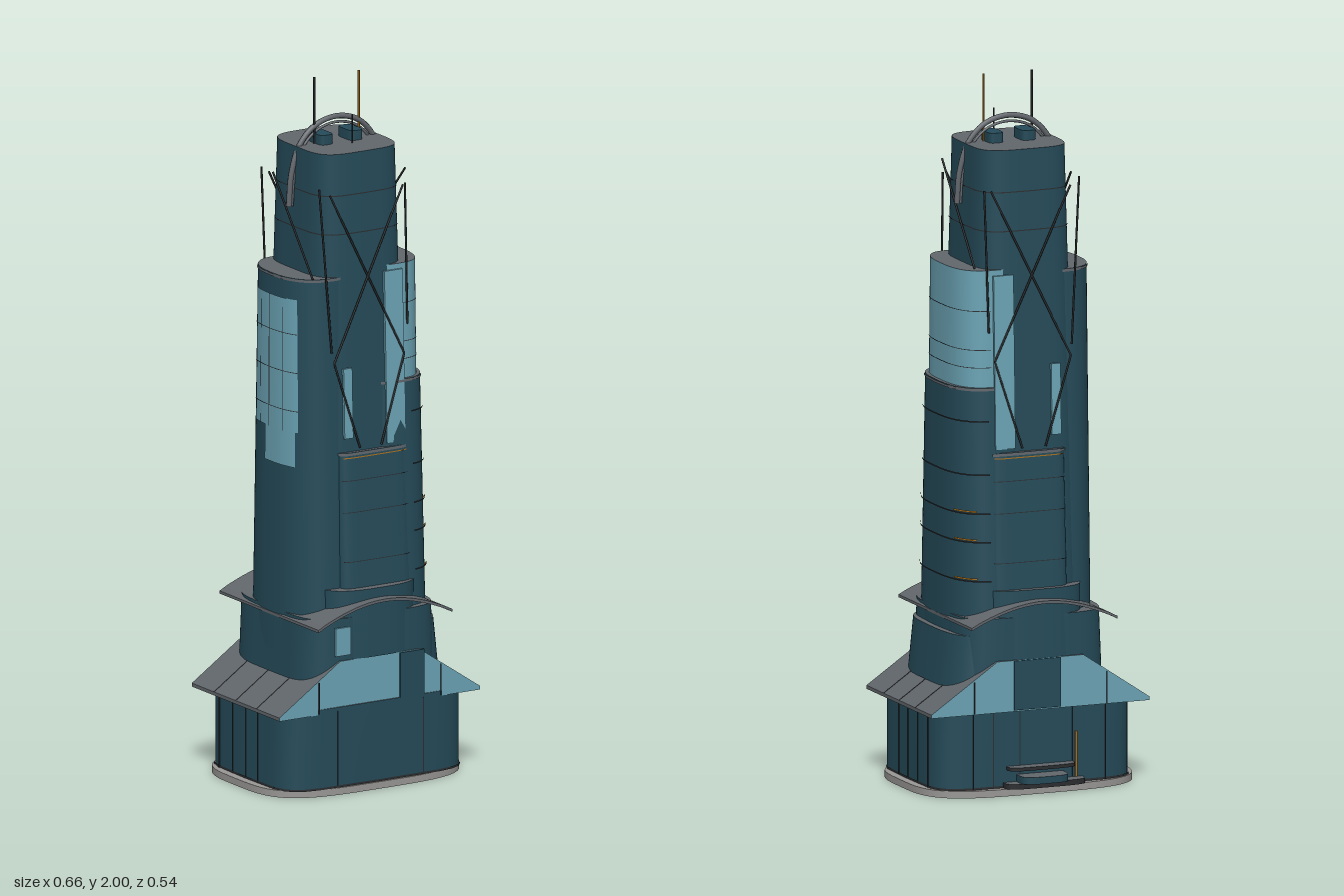
import * as THREE from 'three';

const mat = (name, color) => {
  const m = new THREE.MeshStandardMaterial({ color });
  m.name = name;
  return m;
};

export function createModel() {
  const root = new THREE.Group();
  root.name = 'skyscraper';
  const glass = mat('dark teal glass', 0x254b59);
  const pale = mat('pale teal glass', 0x6ba3b4);
  const grey = mat('roof grey', 0x62676c);
  const rim = mat('light stone', 0x9a9896);
  const dark = mat('dark steel', 0x2b2d30);
  const amber = mat('amber light', 0xa8701f);

  const add = (name, geo, material, parent = root) => {
    const m = new THREE.Mesh(geo, material);
    m.name = name;
    parent.add(m);
    return m;
  };
  const box = (name, w, h, d, x, y, z, material) => {
    const m = add(name, new THREE.BoxGeometry(w, h, d), material);
    m.position.set(x, y, z);
    return m;
  };
  const bar = (name, a, b, r, material) => {
    const p = new THREE.Vector3(...a), q = new THREE.Vector3(...b);
    const m = add(name, new THREE.CylinderGeometry(r, r, p.distanceTo(q), 6), material);
    m.position.copy(p).add(q).multiplyScalar(0.5);
    m.quaternion.setFromUnitVectors(new THREE.Vector3(0, 1, 0), q.sub(p).normalize());
  };

  // A volume has a rounded plan, lerped between a low and a high ring [y, x, z, halfX, halfZ]
  const bend = (v, n) => Math.sign(v) * Math.pow(Math.abs(v), 2 / n);
  const plan = (vol, y, t, off = 0) => {
    const k = (y - vol.lo[0]) / (vol.hi[0] - vol.lo[0]);
    const [, x, z, hx, hz] = vol.lo.map((v, i) => THREE.MathUtils.lerp(v, vol.hi[i], k));
    return [x + (hx + off) * bend(Math.cos(t), vol.n), y, z + (hz + off) * bend(Math.sin(t), vol.n)];
  };
  // Wall covering part of a volume, from angle t0 to t1 (0 is +x, PI/2 is the front)
  const skin = (vol, t0, t1, y0, y1, off = 0, seg = 64) => {
    const pos = [], idx = [];
    for (let i = 0; i <= seg; i++) {
      const t = t0 + (t1 - t0) * i / seg;
      pos.push(...plan(vol, y0, t, off), ...plan(vol, y1, t, off));
      if (i < seg) {
        const a = i * 2;
        idx.push(a, a + 1, a + 2, a + 1, a + 3, a + 2);
      }
    }
    const g = new THREE.BufferGeometry();
    g.setAttribute('position', new THREE.Float32BufferAttribute(pos, 3));
    g.setIndex(idx);
    g.computeVertexNormals();
    return g;
  };
  const cap = (vol, ring, up, seg = 64) => {
    const pos = [ring[1], ring[0], ring[2]], idx = [];
    for (let i = 0; i < seg; i++) {
      pos.push(...plan(vol, ring[0], i / seg * Math.PI * 2));
      const a = 1 + i, b = 1 + (i + 1) % seg;
      idx.push(0, up ? b : a, up ? a : b);
    }
    const g = new THREE.BufferGeometry();
    g.setAttribute('position', new THREE.Float32BufferAttribute(pos, 3));
    g.setIndex(idx);
    g.computeVertexNormals();
    return g;
  };
  const volume = (name, n, lo, hi, wall = glass, top = grey) => {
    const vol = { n, lo, hi };
    const g = new THREE.Group();
    g.name = name;
    root.add(g);
    add(name + 'Wall', skin(vol, 0, Math.PI * 2, lo[0], hi[0]), wall, g);
    add(name + 'Top', cap(vol, hi, true), top, g);
    add(name + 'Underside', cap(vol, lo, false), top, g);
    return vol;
  };
  const strip = (name, vol, t0, t1, y0, y1, material, off = 0.003) =>
    add(name, skin(vol, t0, t1, y0, y1, off, 24), material);
  const PI = Math.PI, TAU = PI * 2;

  // Base plate and podium
  volume('basePlate', 3.6, [0, 0, 0.01, 0.327, 0.242], [0.02, 0, 0.01, 0.327, 0.242], rim, rim);
  const podium = volume('podium', 6, [0.02, 0, 0.018, 0.3, 0.226], [0.25, 0, 0.018, 0.3, 0.226]);
  strip('podiumBaseBand', podium, 0, TAU, 0.02, 0.026, dark);
  for (const x of [-0.2, -0.1, 0.06, 0.14, 0.2]) box('rearSeam', 0.002, 0.22, 0.004, x, 0.13, -0.208, dark);
  for (const x of [-0.14, 0.14]) box('frontSeam', 0.002, 0.22, 0.004, x, 0.13, 0.244, dark);
  for (const x of [-0.3, 0.3])
    for (const z of [-0.12, -0.05, 0.018, 0.08]) box('sideSeam', 0.004, 0.22, 0.002, x, 0.13, z, dark);

  // Rear entrance ledges
  volume('entranceStep', 4, [0.02, -0.01, -0.21, 0.12, 0.04], [0.035, -0.01, -0.21, 0.12, 0.04], dark);
  volume('entrancePorch', 4, [0.035, 0, -0.22, 0.07, 0.05], [0.055, 0, -0.22, 0.07, 0.05], glass);
  volume('entranceCanopy', 4, [0.07, 0, -0.21, 0.1, 0.035], [0.08, 0, -0.21, 0.1, 0.035], dark);
  box('entranceLight', 0.006, 0.13, 0.006, -0.11, 0.1, -0.21, amber);

  // Sloped podium roof with glazed gable ends
  const gable = new THREE.Shape([[-0.33, 0.235], [0.33, 0.235], [0.33, 0.245], [0.13, 0.38], [-0.13, 0.38], [-0.33, 0.245]]
    .map(p => new THREE.Vector2(...p)));
  const gableGeo = new THREE.ExtrudeGeometry(gable, { depth: 0.455, bevelEnabled: false });
  add('podiumRoof', gableGeo.translate(0, 0, -0.215), [pale, grey]);
  box('frontGablePanel', 0.08, 0.138, 0.006, 0.105, 0.309, 0.241, glass);
  box('rearGablePanel', 0.14, 0.14, 0.006, 0.01, 0.309, -0.216, glass);
  for (const z of [0.241, -0.216])
    for (const x of [-0.2, 0.2]) box('gableMullion', 0.002, 0.09, 0.005, x, 0.283, z, dark);
  for (const s of [-1, 1])
    for (const z of [-0.1, 0.012, 0.12]) bar('roofSeam', [s * 0.33, 0.245, z], [s * 0.2, 0.333, z], 0.0012, dark);

  // Drum and lower bays
  volume('lowerDrum', 5, [0.25, 0, 0.014, 0.225, 0.226], [0.5, 0, 0.014, 0.215, 0.222]);
  volume('sideBay', 3.2, [0.3, 0.13, 0.014, 0.122, 0.21], [0.45, 0.13, 0.014, 0.107, 0.2]);
  volume('frontBay', 3, [0.38, 0, 0.13, 0.15, 0.115], [0.575, 0, 0.13, 0.15, 0.112]);
  volume('rearBay', 3, [0.38, 0, -0.11, 0.15, 0.105], [0.575, 0, -0.11, 0.15, 0.1]);
  box('frontBayGlass', 0.05, 0.08, 0.006, -0.12, 0.435, 0.238, pale);

  // Arched canopy
  const canopy = new THREE.Shape();
  const arch = x => 0.48 + 0.06 * Math.pow(Math.cos(x / 0.22 * PI / 2), 0.9);
  for (let i = 0; i <= 24; i++) {
    const x = -0.22 + 0.44 * i / 24;
    i ? canopy.lineTo(x, arch(x)) : canopy.moveTo(x, arch(x));
  }
  for (let i = 24; i >= 0; i--) {
    const x = -0.22 + 0.44 * i / 24;
    canopy.lineTo(x, arch(x) + 0.008);
  }
  add('archedCanopy', new THREE.ExtrudeGeometry(canopy, { depth: 0.515, bevelEnabled: false }).translate(0, 0, -0.245), grey);

  // Tower volumes
  const core = volume('towerCore', 4.2, [0.4, 0, 0.012, 0.165, 0.19], [1.81, 0, 0.012, 0.134, 0.146]);
  const slab = volume('tallSideSlab', 2.5, [0.35, -0.1, 0.016, 0.12, 0.18], [1.46, -0.1, 0.016, 0.115, 0.148]);
  const shell = volume('glassShell', 2.8, [1.1, 0.105, 0.014, 0.1, 0.163], [1.475, 0.105, 0.014, 0.098, 0.156], pale);
  const mid = volume('sideTier', 2.8, [0.45, 0.1, 0.014, 0.12, 0.202], [1.145, 0.1, 0.014, 0.116, 0.171]);
  const front = volume('frontTier', 7, [0.5, 0.015, 0.1, 0.118, 0.12], [0.96, 0.015, 0.1, 0.115, 0.096]);
  const rear = volume('rearTier', 7, [0.5, 0.015, -0.08, 0.118, 0.114], [0.96, 0.015, -0.08, 0.115, 0.092]);

  // Floor lines, tier edges and amber bands
  for (const y of [1.58, 1.69]) strip('coreFloorLine', core, 0, TAU, y, y + 0.003, dark, 0.002);
  for (const y of [1.2, 1.25, 1.36]) strip('shellFloorLine', shell, -1.5, 1.5, y, y + 0.002, dark, 0.002);
  for (const y of [0.6, 0.71, 0.79, 0.9, 1.05]) strip('tierFloorLine', mid, -1.4, 1.4, y, y + 0.004, dark, 0.005);
  for (const y of [0.6, 0.71, 0.79])
    for (const s of [-1, 1]) strip('amberBand', mid, s * 0.8 - 0.3, s * 0.8 + 0.3, y + 0.006, y + 0.011, amber, 0.006);
  for (const [v, t] of [[front, PI / 2], [rear, -PI / 2]]) {
    for (const y of [0.65, 0.79, 0.88]) strip('floorLine', v, t - 0.8, t + 0.8, y, y + 0.002, dark);
    strip('amberEdge', v, t - 0.7, t + 0.7, 0.944, 0.947, amber);
  }
  for (const [v, y] of [[mid, 1.14], [slab, 1.455], [front, 0.955], [rear, 0.955]])
    strip('roofEdge', v, 0, TAU, y - 0.003, y + 0.004, grey, 0.003);

  // Pale glazing on the tall slab and narrow strips on the core
  strip('slabGlazing', slab, PI - 0.68, PI + 0.48, 1.02, 1.4, pale);
  strip('slabGlazingFoot', slab, PI - 0.6, PI + 0.1, 0.92, 1.02, pale);
  for (const y of [1.08, 1.19, 1.3]) strip('slabFloorLine', slab, PI - 0.68, PI + 0.48, y, y + 0.002, dark, 0.005);
  for (const a of [-0.3, 0, 0.22]) strip('slabMullion', slab, PI + a, PI + a + 0.01, 1.02, 1.4, dark, 0.005);
  const faceZ = (y, s) => plan(core, y, s * PI / 2, 0.004)[2];
  const sheet = (name, x, w, y0, y1, s) => {
    const y = (y0 + y1) / 2;
    const m = box(name, w, y1 - y0, 0.008, x, y, faceZ(y, s), pale);
    m.rotation.x = -s * 0.03;
  };
  for (const s of [-1, 1]) {
    sheet('coreGlassStrip', 0.085, 0.06, 0.97, 1.46, s);
    sheet('coreGlassSliver', -0.07, 0.028, 1.0, 1.2, s);
  }

  // Diagonal bracing on front, back and right side
  for (const s of [-1, 1]) {
    const at = (x, y) => [x, y, faceZ(y, s) + s * 0.005];
    for (const m of [-1, 1]) {
      bar('crossBrace', at(m * 0.12, 1.7), at(-m * 0.115, 1.22), 0.003, dark);
      bar('lowerBrace', at(m * 0.115, 1.22), at(m * 0.035, 0.97), 0.003, dark);
    }
    bar('cornerRod', [-0.12, 1.25, 0.012 + s * 0.168], [-0.15, 1.72, 0.012 + s * 0.15], 0.003, dark);
    bar('cornerRod', [0.13, 1.3, 0.012 + s * 0.166], [0.135, 1.7, 0.012 + s * 0.145], 0.003, dark);
  }
  bar('sideBrace', [0.14, 1.74, 0.15], [0.15, 1.475, -0.1], 0.003, dark);
  bar('slabRod', [-0.163, 1.46, 0.15], [-0.155, 1.72, -0.07], 0.003, dark);

  // Crown arch, roof plant and masts
  const crown = [[-0.155, 1.64], [-0.147, 1.73], [-0.12, 1.81], [-0.07, 1.86], [0, 1.878], [0.07, 1.86], [0.12, 1.81], [0.147, 1.73], [0.155, 1.64]];
  for (const [scale, r] of [[1, 0.008], [0.93, 0.004]]) {
    const curve = new THREE.CatmullRomCurve3(crown.map(([x, y]) => new THREE.Vector3(x * scale, 1.64 + (y - 1.64) * scale, 0.012)));
    add('crownArch', new THREE.TubeGeometry(curve, 48, r, 8), grey);
  }
  for (const s of [-1, 1]) {
    volume('roofPlant', 4, [1.81, s * 0.049, 0.01, 0.022, 0.038], [1.838, s * 0.049, 0.01, 0.022, 0.038], glass, glass);
    bar('mast', [s * 0.073, 1.81, 0.015], [s * 0.073, 2, 0.015], 0.003, s < 0 ? dark : amber);
  }
  bar('rearMast', [0.02, 1.81, 0.065], [0.02, 1.89, 0.065], 0.002, dark);
  return root;
}
